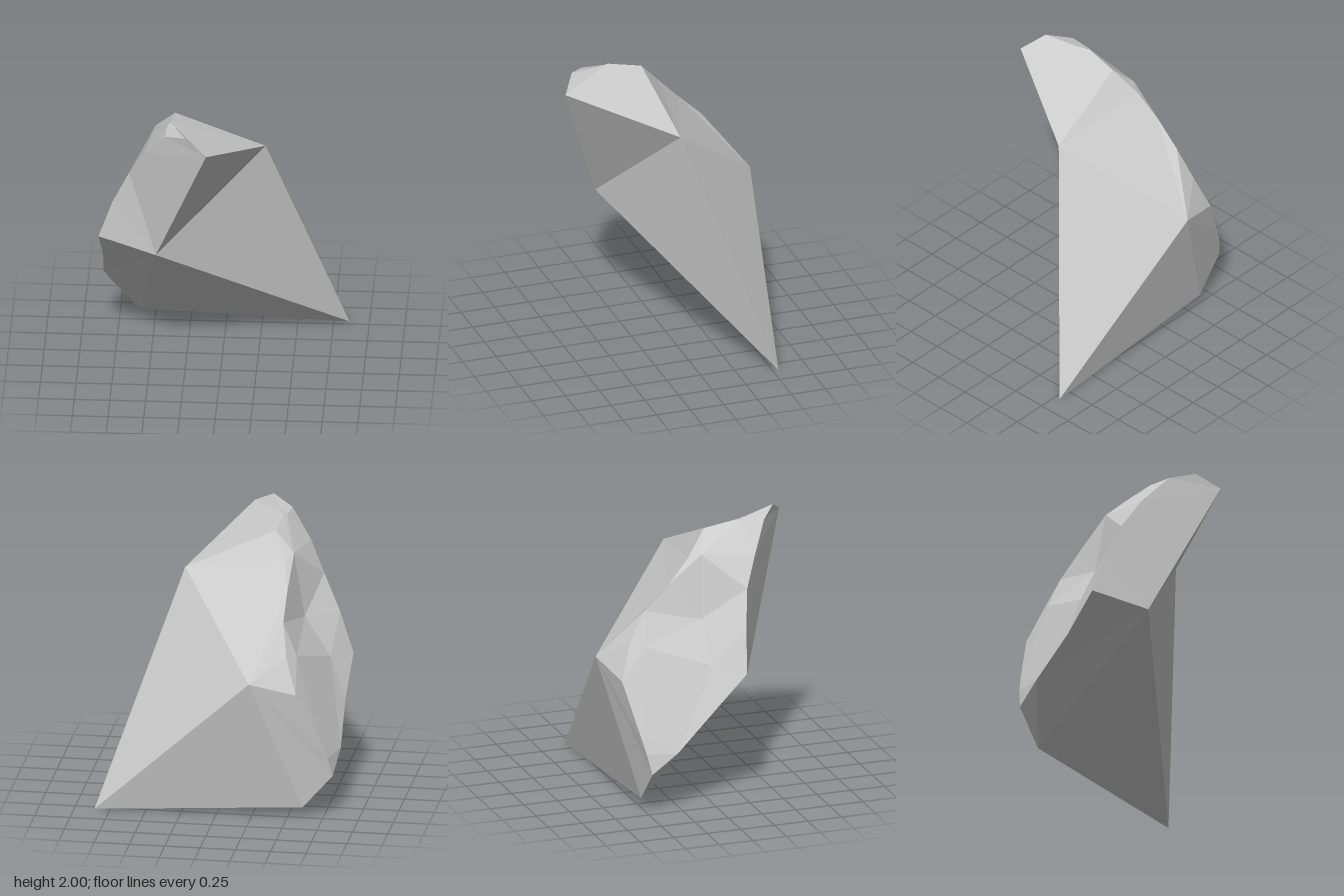
import * as THREE from 'three';

// Corner points of the shard
const corners = {
  // main crystal corners
  A: [-0.08, 1.91, 0.71], B: [0.30, 1.64, -0.01], C: [-0.45, 0.95, 0.36],
  D: [0.86, 0, -0.54], E: [-0.26, 1.04, -0.72], F: [-0.61, 0.08, -0.51],
  // chipped tip
  G: [-0.33, 1.92, 0.06], H: [-0.23, 2.0, 0.61], K: [-0.35, 1.965, 0.30],
  L: [-0.38, 1.95, 0.49], M: [-0.37, 1.95, 0.32], N: [-0.31, 1.97, 0.39],
  // back ridge, from the tip down
  R1: [-0.42, 1.75, -0.09], R2: [-0.46, 1.58, -0.25], R3: [-0.46, 1.41, -0.43],
  R4: [-0.50, 1.2, -0.55], R5: [-0.58, 0.95, -0.64], R6: [-0.74, 0.59, -0.56],
  // lower rim
  V: [-0.79, 0.46, -0.53], W: [-0.82, 0.32, -0.5], X: [-0.85, 0.47, -0.32],
  Y: [-0.84, 0.74, -0.05], P: [-0.86, 1.0, 0.19],
  // front rim of the broken side
  Q0: [-0.76, 1.29, 0.22], Q1: [-0.64, 1.55, 0.27], Q2: [-0.53, 1.76, 0.37],
  // bumps on the broken side
  T1: [-0.55, 1.33, -0.04], T2: [-0.73, 1.04, -0.02],
  T3: [-0.56, 1.18, -0.46], T4: [-0.47, 1.78, -0.01],
};

// Each entry is a fan: its first corner joined to each following pair
const parts = {
  cleanFaces: [
    'A C B', 'C D B', 'C F D', 'E F D B',      // front, underside, back
    'B E R2 R1 G K A', 'E R2 R3 R4 R5 R6 V W F', // top and back slopes
    'C P Y X F', 'F X W',                       // lower left
  ],
  chippedTip: ['A K N H L Q2', 'N H L M K'],
  brokenSide: [
    'C A Q2 Q1 Q0 P',
    'T4 K G R1 R2 T1 Q1 Q2 M K', 'Q2 L M',
    'T1 R2 R3 T3 T2 Q0 Q1',
    'T3 R3 R4 R5 R6 X T2', 'R6 V X', 'V W X',
    'T2 X Y P Q0',
  ],
};

const core = new THREE.Vector3(-0.28, 1.1, -0.05);

// Builds flat facets, each turned to face away from the core
function facets(fans) {
  const points = [];
  for (const fan of fans) {
    const v = fan.split(' ').map((name) => new THREE.Vector3(...corners[name]));
    for (let i = 1; i < v.length - 1; i++) {
      const tri = new THREE.Triangle(v[0], v[i], v[i + 1]);
      const normal = tri.getNormal(new THREE.Vector3());
      const outward = tri.getMidpoint(new THREE.Vector3()).sub(core);
      if (normal.dot(outward) < 0) points.push(v[0], v[i + 1], v[i]);
      else points.push(v[0], v[i], v[i + 1]);
    }
  }
  const geometry = new THREE.BufferGeometry().setFromPoints(points);
  geometry.computeVertexNormals();
  return geometry;
}

export function createModel() {
  const group = new THREE.Group();
  group.name = 'rockShard';
  const stone = new THREE.MeshStandardMaterial({
    color: 0xcccccc, flatShading: true, side: THREE.DoubleSide,
  });
  for (const [name, fans] of Object.entries(parts)) {
    const mesh = new THREE.Mesh(facets(fans), stone);
    mesh.name = name;
    group.add(mesh);
  }
  return group;
}
